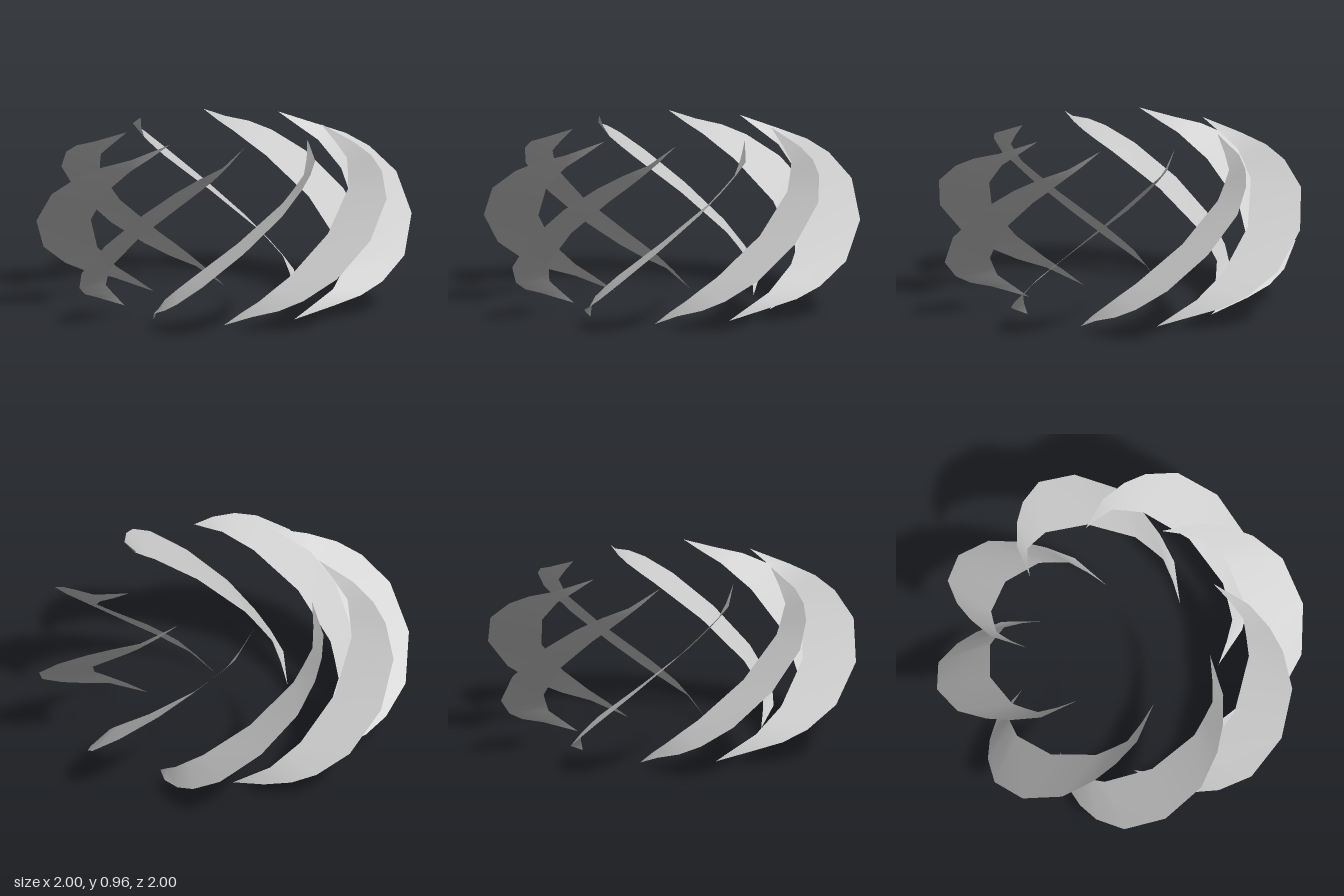
import * as THREE from 'three';

const COUNT = 8;
const MID_Y = 0.48;

// Half of one blade from its middle towards the tip: [radius, height, sideways]
const OUTER = [[1, 0, 0], [0.94, 0.185, 0.21], [0.81, 0.30, 0.33], [0.69, 0.36, 0.39], [0.54, 0.405, 0.43]];
const INNER = [[0.71, 0, 0], [0.65, 0.20, 0.245], [0.595, 0.265, 0.31], [0.54, 0.33, 0.37], [0.44, 0.40, 0.395]];
const TIP = [0.33, 0.48, 0.41];

// Whole edge: the lower half is the upper half turned about the radial axis
function fullEdge(half) {
  const points = [...half, TIP];
  const upper = points.map(([r, h, s]) => [r, h, -s]);
  const lower = points.slice(1).reverse().map(([r, h, s]) => [r, -h, s]);
  return [...lower, ...upper];
}

// Crescent skinned between its outer and inner edges
function bladeGeometry() {
  const outer = fullEdge(OUTER);
  const inner = fullEdge(INNER);
  const n = outer.length;
  const index = [];
  for (let i = 0; i < n - 1; i++) {
    const a = i, b = i + 1, c = n + i, d = n + i + 1;
    if (i > 0) index.push(a, b, c);
    if (i < n - 2) index.push(b, d, c);
    else if (i === 0) index.push(b, d, c);
  }
  const geometry = new THREE.BufferGeometry();
  geometry.setAttribute('position', new THREE.Float32BufferAttribute([...outer, ...inner].flat(), 3));
  geometry.setIndex(index);
  geometry.computeVertexNormals();
  return geometry;
}

export function createModel() {
  const model = new THREE.Group();
  model.name = 'crescentRing';
  const material = new THREE.MeshStandardMaterial({ color: 0xcccccc, side: THREE.DoubleSide });
  const geometry = bladeGeometry();

  // Tilted crescent blades spaced evenly around the ring
  for (let i = 0; i < COUNT; i++) {
    const blade = new THREE.Mesh(geometry, material);
    blade.name = `crescentBlade${i + 1}`;
    blade.position.y = MID_Y;
    blade.rotation.y = (i / COUNT) * Math.PI * 2;
    model.add(blade);
  }
  return model;
}
